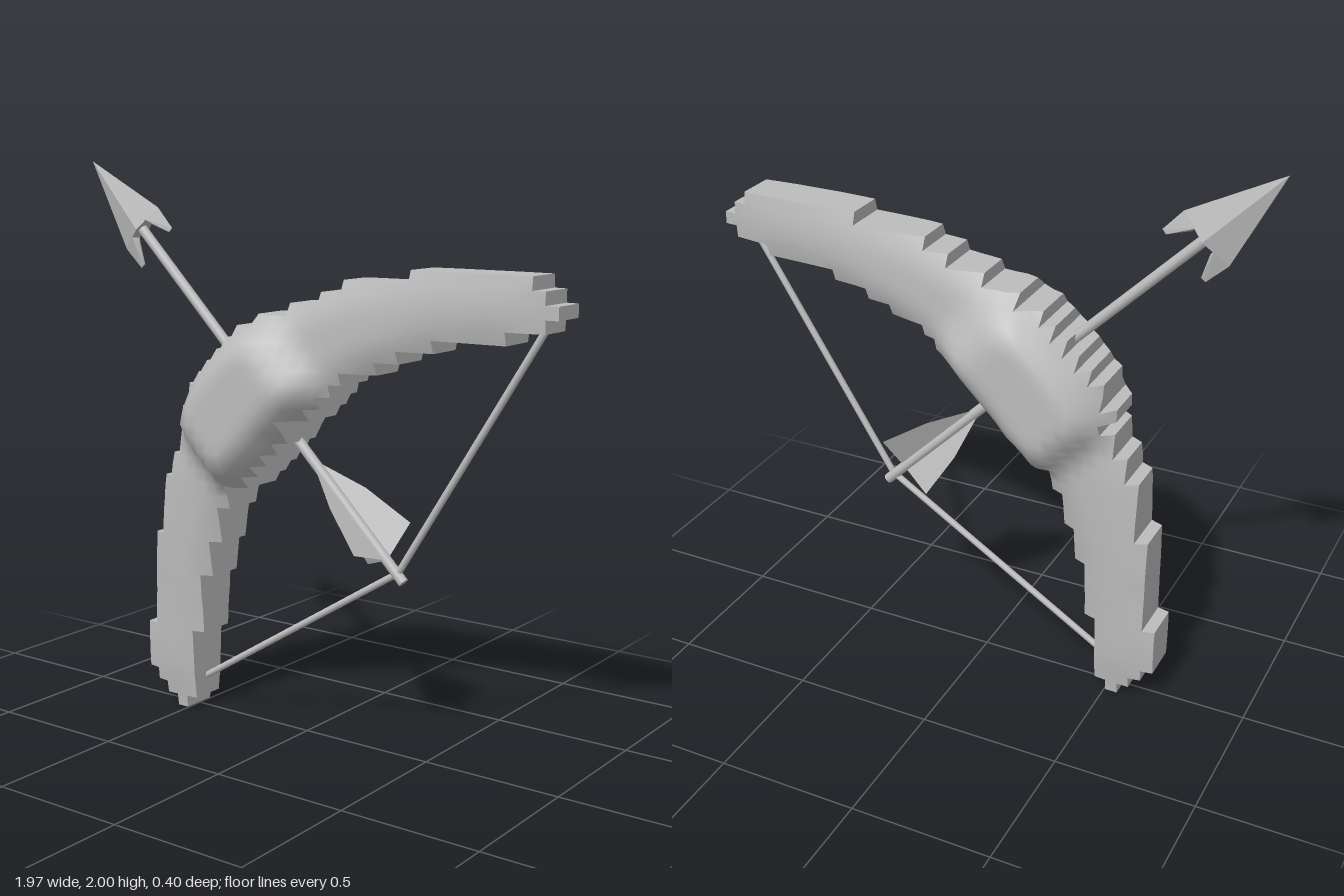
import * as THREE from 'three';
import { ConvexGeometry } from 'three/addons/geometries/ConvexGeometry.js';

const grey = new THREE.MeshStandardMaterial({ color: 0xbcbcbc, side: THREE.DoubleSide });
grey.name = 'plain grey';

const CELL = 0.0438, N = 38, X0 = -0.68, Y0 = 1.667;

// Bow outline on a square grid: first and last column of each row, top to bottom
const ROWS = [
  [26, 36], [20, 37], [18, 38], [15, 37], [12, 34], [10, 28], [9, 25], [8, 23],
  [7, 20], [6, 19], [5, 18], [5, 17], [4, 15], [5, 15], [4, 14], [4, 13],
  [3, 12], [3, 11], [2, 9], [2, 9], [2, 8], [2, 8], [2, 8], [1, 7], [1, 7], [1, 7],
  [1, 6], [1, 6], [1, 6], [1, 6], [1, 6], [0, 5], [0, 5], [0, 5], [0, 5],
  [1, 5], [2, 5], [3, 4],
];
const filled = (i, j) => j >= 0 && j < N && i >= ROWS[j][0] && i < ROWS[j][1];

// Share of filled cells near a grid corner: low on outer teeth, 1 deep inside
function coverage(i, j) {
  let sum = 0, total = 0;
  for (let b = -3; b < 3; b++) for (let a = -3; a < 3; a++) {
    if (Math.hypot(a + 0.5, b + 0.5) > 3) continue;
    total++;
    if (filled(i + a, j + b)) sum++;
  }
  return sum / total;
}

// Half thickness at a grid corner: rounded across the limb, swollen at the grip
function height(i, j) {
  const { lerp, clamp, smoothstep } = THREE.MathUtils;
  const t = i - j;
  const grip = 1 - Math.max(smoothstep(t, 6, 10.5), smoothstep(-t, 7, 9.5));
  const taper = clamp((Math.abs(t) - 10) / 25, 0, 1);
  const edge = lerp(0.04 + 0.025 * taper, 0.08, grip);
  const full = lerp(0.115 - 0.03 * taper, 0.202, grip);
  const start = lerp(0.25, 0.42, grip);
  const k = clamp((coverage(i, j) - start) / (0.96 - start), 0, 1);
  return edge + (full - edge) * Math.sin(k * Math.PI / 2);
}

function geometry(positions, index) {
  const g = new THREE.BufferGeometry();
  g.setAttribute('position', new THREE.Float32BufferAttribute(positions, 3));
  if (index) g.setIndex(index);
  g.computeVertexNormals();
  return g;
}

function mesh(name, geo) {
  const m = new THREE.Mesh(geo, grey);
  m.name = name;
  return m;
}

function makeBow() {
  const bow = new THREE.Group();
  bow.name = 'bow';
  const point = (i, j, side) => [X0 + i * CELL, Y0 - j * CELL, side * height(i, j)];

  // Rounded front and back faces
  for (const side of [1, -1]) {
    const pos = [], index = [], ids = new Map();
    const id = (i, j) => {
      const k = j * (N + 1) + i;
      if (!ids.has(k)) { ids.set(k, pos.length / 3); pos.push(...point(i, j, side)); }
      return ids.get(k);
    };
    for (let j = 0; j < N; j++) for (let i = ROWS[j][0]; i < ROWS[j][1]; i++) {
      const a = id(i, j + 1), b = id(i + 1, j + 1), c = id(i + 1, j), d = id(i, j);
      index.push(...(side > 0 ? [a, b, c, a, c, d] : [a, c, b, a, d, c]));
    }
    bow.add(mesh(side > 0 ? 'bowFront' : 'bowBack', geometry(pos, index)));
  }

  // Stepped rim walls
  const walls = [];
  const wall = (a, b) => {
    const p = point(...a, 1), q = point(...b, 1), r = point(...b, -1), s = point(...a, -1);
    walls.push(...p, ...s, ...r, ...p, ...r, ...q);
  };
  for (let j = 0; j < N; j++) for (let i = ROWS[j][0]; i < ROWS[j][1]; i++) {
    if (!filled(i, j - 1)) wall([i + 1, j], [i, j]);
    if (!filled(i, j + 1)) wall([i, j + 1], [i + 1, j + 1]);
    if (!filled(i - 1, j)) wall([i, j], [i, j + 1]);
    if (!filled(i + 1, j)) wall([i + 1, j + 1], [i + 1, j]);
  }
  bow.add(mesh('bowRim', geometry(walls)));
  return bow;
}

function rod(name, from, to, radius) {
  const a = new THREE.Vector3(...from), b = new THREE.Vector3(...to);
  const m = mesh(name, new THREE.CylinderGeometry(radius, radius, a.distanceTo(b), 10));
  m.position.copy(a).add(b).multiplyScalar(0.5);
  m.quaternion.setFromUnitVectors(new THREE.Vector3(0, 1, 0), b.sub(a).normalize());
  return m;
}

// Arrow built pointing up with its tip at the origin, then tilted
function makeArrow() {
  const arrow = new THREE.Group();
  arrow.name = 'arrow';
  arrow.add(rod('shaft', [0, -1.96, 0], [0, -0.3, 0], 0.019));

  const V = (x, y, z) => new THREE.Vector3(x, y, z);
  arrow.add(mesh('arrowHead', new ConvexGeometry([
    V(0, 0, 0), V(0.11, -0.338, 0), V(-0.11, -0.338, 0), V(0, -0.342, 0.036), V(0, -0.342, -0.036),
  ])));
  for (const s of [1, -1]) {
    arrow.add(mesh(s > 0 ? 'rightBarb' : 'leftBarb', new ConvexGeometry([
      V(s * 0.11, -0.337, 0), V(s * 0.045, -0.335, 0.021), V(s * 0.045, -0.335, -0.021),
      V(s * 0.045, -0.362, 0), V(s * 0.106, -0.436, 0), V(s * 0.086, -0.436, 0.004), V(s * 0.086, -0.436, -0.004),
    ])));
  }

  // Three feather vanes around the shaft
  const vane = new THREE.Shape();
  vane.moveTo(0, -1.42);
  vane.lineTo(0.09, -1.62);
  vane.lineTo(0.14, -1.81);
  vane.lineTo(0, -1.865);
  const vaneGeo = new THREE.ShapeGeometry(vane);
  for (let k = 0; k < 3; k++) {
    const m = mesh('vane' + (k + 1), vaneGeo);
    m.rotation.y = -Math.PI / 2 + k * Math.PI * 2 / 3;
    arrow.add(m);
  }
  arrow.position.set(-0.985, 2, 0);
  arrow.rotation.z = Math.PI / 4;
  return arrow;
}

export function createModel() {
  const model = new THREE.Group();
  model.name = 'bowAndArrow';
  model.add(makeBow(), makeArrow());
  // Drawn string
  model.add(rod('upperString', [0.92, 1.515, 0], [0.38, 0.645, 0], 0.012));
  model.add(rod('lowerString', [-0.48, 0.108, 0], [0.38, 0.645, 0], 0.012));
  return model;
}
